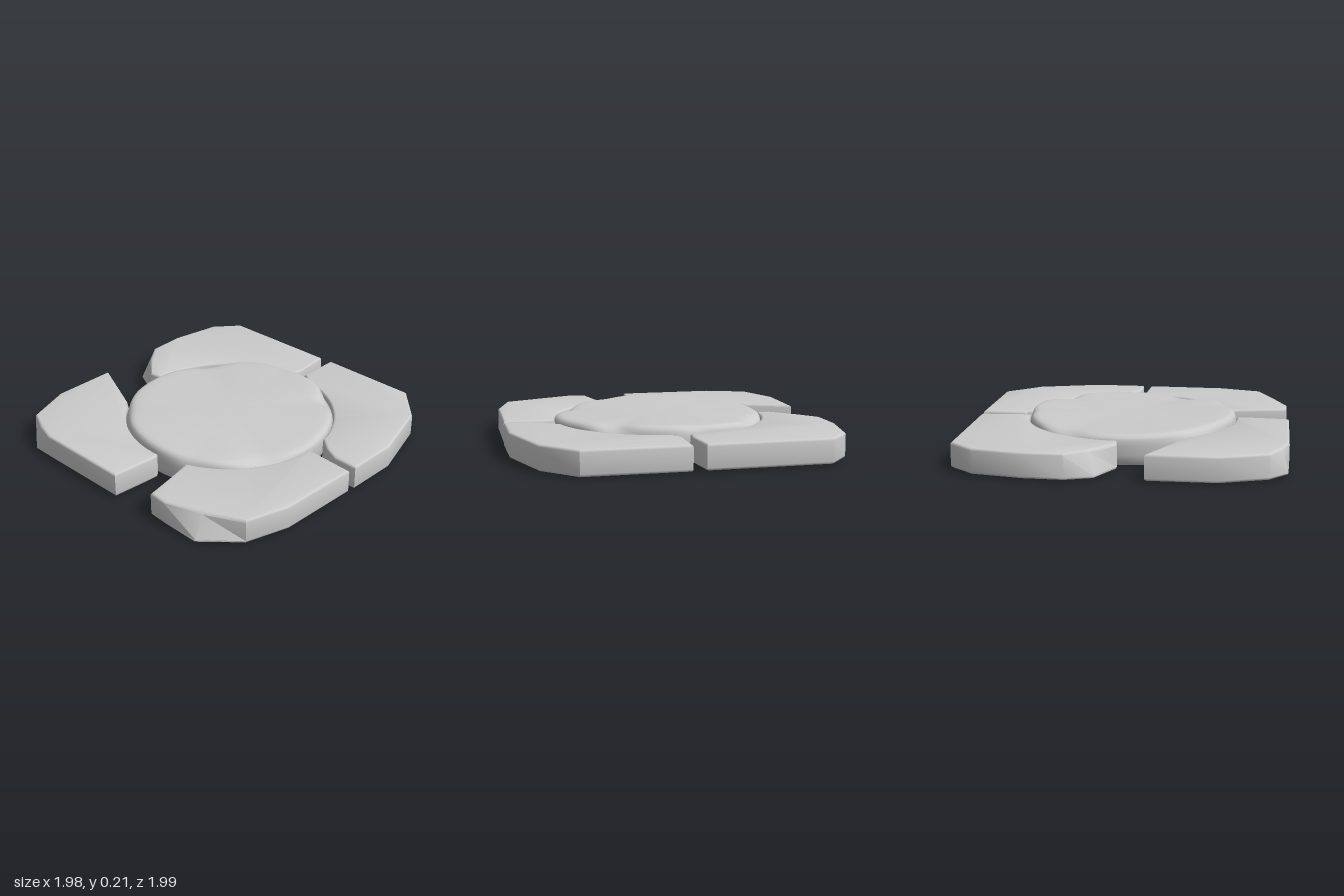
import * as THREE from 'three';
import { mergeVertices, toCreasedNormals } from 'three/addons/utils/BufferGeometryUtils.js';

const CENTRE_Z = 0.012;
const SLAB_BASE = 0.01;
const SLAB_TOP = 0.165;

// Points [x, z] on the circle that the slabs wrap around, angles in degrees
function arc(from, to, radius = 0.66, steps = 16) {
  return Array.from({ length: steps + 1 }, (_, i) => {
    const a = THREE.MathUtils.degToRad(from + ((to - from) * i) / steps);
    return [radius * Math.cos(a), CENTRE_Z + radius * Math.sin(a)];
  });
}

// Bevelled paving slab; shifts [x, z, dx, dz] lean the top of a corner inwards
function slab(name, outline, shifts, material) {
  const bevel = 0.016;
  const height = SLAB_TOP - SLAB_BASE;
  const shape = new THREE.Shape(outline.map(([x, z]) => new THREE.Vector2(x, -z)));
  const geometry = new THREE.ExtrudeGeometry(shape, {
    depth: height - 2 * bevel,
    bevelThickness: bevel,
    bevelSize: bevel,
    bevelOffset: -bevel,
    bevelSegments: 3,
  });
  geometry.rotateX(-Math.PI / 2).translate(0, SLAB_BASE + bevel, 0);

  const p = geometry.attributes.position;
  for (let i = 0; i < p.count; i++) {
    const x = p.getX(i), z = p.getZ(i);
    const lean = (p.getY(i) - SLAB_BASE) / height;
    for (const [cx, cz, dx, dz] of shifts) {
      if (Math.hypot(x - cx, z - cz) < 0.04) {
        p.setX(i, x + dx * lean);
        p.setZ(i, z + dz * lean);
      }
    }
  }
  const mesh = new THREE.Mesh(toCreasedNormals(geometry, 0.55), material);
  mesh.name = name;
  return mesh;
}

// Round centre stone with a gently wavy top and chipped rim
function centreStone(material) {
  const profile = [
    [0, 0], [0.3, 0], [0.6, 0], [0.625, 0.006], [0.643, 0.03], [0.653, 0.07], [0.657, 0.13],
    [0.655, 0.165], [0.648, 0.183], [0.634, 0.194], [0.61, 0.199], [0.55, 0.2], [0.3, 0.198], [0, 0.197],
  ].map(([r, y]) => new THREE.Vector2(r, y));
  let geometry = new THREE.LatheGeometry(profile, 96);
  geometry.deleteAttribute('uv');
  geometry.deleteAttribute('normal');

  // Chips as [angle, width, depth], angles in degrees from +x towards +z
  const chips = [[37, 10, 0.055], [119, 12, 0.045], [157, 9, 0.015], [-57, 13, 0.04], [-135, 12, 0.02], [-8, 7, 0.015]];
  const p = geometry.attributes.position;
  for (let i = 0; i < p.count; i++) {
    const x = p.getX(i), y = p.getY(i), z = p.getZ(i);
    const r = Math.hypot(x, z);
    const angle = THREE.MathUtils.radToDeg(Math.atan2(z, x));
    let chip = 0;
    for (const [a, width, depth] of chips) {
      const d = THREE.MathUtils.euclideanModulo(angle - a + 180, 360) - 180;
      chip += depth * Math.exp(-((d / width) ** 2));
    }
    const top = THREE.MathUtils.smoothstep(y, 0.13, 0.195);
    const rim = THREE.MathUtils.smoothstep(r, 0.45, 0.65);
    const scale = r > 0 ? 1 - (chip * top * rim) / r : 1;
    const wave = 0.012 * (r / 0.65) * Math.cos(THREE.MathUtils.degToRad(2 * (angle - 15)));
    p.setXYZ(i, x * scale, y + top * (wave - chip * rim * 0.35), z * scale);
  }
  geometry = mergeVertices(geometry, 1e-4);
  geometry.computeVertexNormals();
  const mesh = new THREE.Mesh(geometry, material);
  mesh.name = 'centreStone';
  mesh.position.z = CENTRE_Z;
  return mesh;
}

export function createModel() {
  const group = new THREE.Group();
  group.name = 'pavingStones';
  const material = new THREE.MeshStandardMaterial({ color: 0xcccccc });

  group.add(centreStone(material));

  group.add(slab('backRightSlab', [
    ...arc(-4, -89),
    [0, -0.73], [0.1, -0.94], [0.26, -1], [0.5, -0.995], [0.81, -0.94], [0.965, -0.81],
    [0.98, -0.05], [0.76, -0.025],
  ], [[0.1, -0.94, 0.04, 0.06], [0.26, -1, 0.01, 0.015]], material));

  group.add(slab('backLeftSlab', [
    ...arc(-120, -183),
    [-0.68, 0.062], [-0.76, 0.058], [-0.99, 0.04], [-0.99, -0.58], [-0.99, -0.72],
    [-0.88, -0.85], [-0.6, -0.955], [-0.185, -0.955],
  ], [[-0.99, -0.72, 0.045, 0.01], [-0.34, -0.56, -0.03, -0.01]], material));

  group.add(slab('frontLeftSlab', [
    ...arc(159, 90),
    [0.008, 0.71], [-0.005, 0.99], [-0.52, 0.98], [-0.79, 0.9], [-0.985, 0.69],
    [-0.978, 0.45], [-0.97, 0.325], [-0.8, 0.29],
  ], [[-0.985, 0.69, 0.095, -0.02]], material));

  group.add(slab('frontRightSlab', [
    ...arc(76, 5),
    [0.7, 0.06], [0.71, 0.03], [0.985, 0.03], [0.988, 0.67], [0.78, 0.87], [0.38, 0.995],
    [0.045, 0.995], [0.045, 0.84], [0.09, 0.74],
  ], [], material));

  return group;
}
